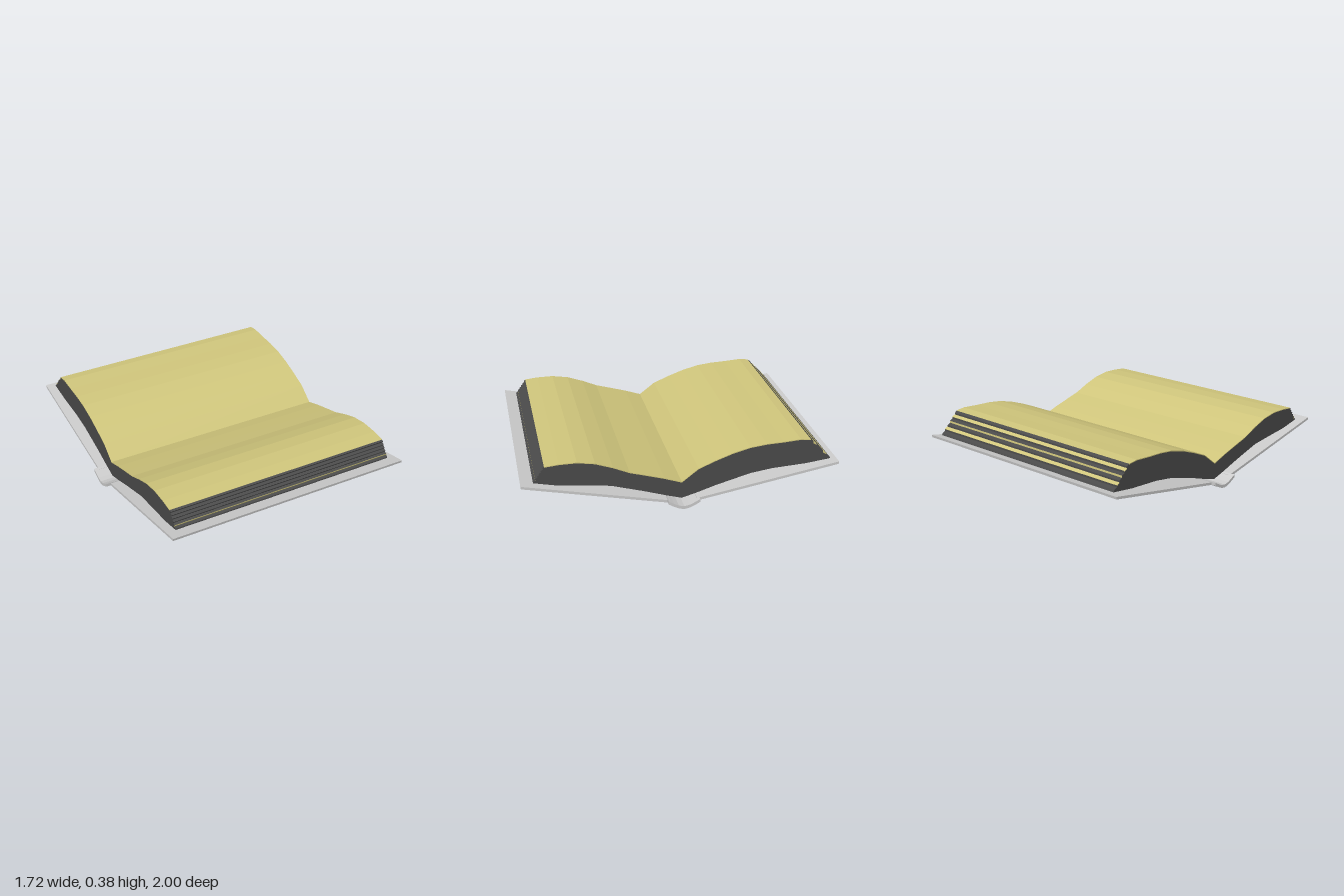
import * as THREE from 'three';

const cover = new THREE.MeshStandardMaterial({ color: 0xcccccc });
const paper = new THREE.MeshStandardMaterial({ color: 0xd0c67c });
const pageEdge = new THREE.MeshStandardMaterial({ color: 0x4a4a4a });

// Extrudes a closed [z, y] outline along x, centred on x = 0
function prism(name, outline, width, material) {
  const shape = new THREE.Shape(outline.map(([z, y]) => new THREE.Vector2(z, y)));
  const geometry = new THREE.ExtrudeGeometry(shape, { depth: width, bevelEnabled: false });
  geometry.rotateY(-Math.PI / 2).translate(width / 2, 0, 0);
  const mesh = new THREE.Mesh(geometry, material);
  mesh.name = name;
  return mesh;
}

// Thin sheet that follows a [z, y] line
function sheet(name, line, width) {
  const under = line.map(([z, y]) => [z, y - 0.004]).reverse();
  return prism(name, [...line.map(([z, y]) => [z, y + 0.001]), ...under], width, paper);
}

// Uneven stack of page edges between the upper and lower corner
function raggedEdge([z0, y0], [z1, y1], steps) {
  const points = [];
  for (let i = 1; i < steps; i++) {
    const t = i / steps;
    const jut = (i % 2 ? 0.005 : -0.005) * Math.sign(z0);
    points.push([z0 + (z1 - z0) * t + jut, y0 + (y1 - y0) * t]);
  }
  return points;
}

function pageBlock(name, top, bottom, stripes) {
  const group = new THREE.Group();
  group.name = name;
  const edge = raggedEdge(top[top.length - 1], bottom[0], 12);
  group.add(prism('pageStack', [...top, ...edge, ...bottom], 1.546, pageEdge));
  group.add(sheet('openPage', top, 1.55));
  // A few lighter pages showing in the fore edge
  for (const i of stripes) group.add(sheet('loosePage', [edge[i], edge[i + 1]], 1.548));
  return group;
}

export function createModel() {
  const book = new THREE.Group();
  book.name = 'openBook';

  // Sloping covers, mirrored front to back
  for (const s of [1, -1]) {
    const outline = [[0.085, 0.036], [0.997, 0.21], [1, 0.227], [0.085, 0.053]];
    book.add(prism(s > 0 ? 'frontCover' : 'backCover',
      outline.map(([z, y]) => [z * s, y]), 1.66, cover));
  }

  // Curved spine, longer than the covers
  const half = [[0.1, 0.04], [0.065, 0.021], [0.035, 0.007], [0, 0]];
  const lower = [...half, ...half.slice(0, 3).reverse().map(([z, y]) => [-z, y])];
  const upper = lower.map(([z, y]) => [z, y + 0.02]).reverse();
  book.add(prism('spine', [...lower, ...upper], 1.72, cover));

  // Page blocks: top line outward from the gutter, then underside back to it
  book.add(pageBlock('frontPages',
    [[0, 0.145], [0.11, 0.18], [0.22, 0.21], [0.327, 0.238], [0.43, 0.28], [0.54, 0.316],
      [0.65, 0.332], [0.76, 0.329], [0.85, 0.319]],
    [[0.92, 0.217], [0.78, 0.19], [0.6, 0.174], [0.445, 0.158], [0.246, 0.105], [0.1, 0.062], [0, 0.035]],
    [8]));
  book.add(pageBlock('backPages',
    [[0, 0.145], [-0.107, 0.228], [-0.22, 0.276], [-0.325, 0.315], [-0.435, 0.345], [-0.54, 0.359],
      [-0.65, 0.365], [-0.76, 0.374], [-0.826, 0.367]],
    [[-0.96, 0.228], [-0.8, 0.206], [-0.58, 0.19], [-0.44, 0.168], [-0.22, 0.105], [-0.107, 0.067], [0, 0.035]],
    [1, 4, 7]));
  return book;
}
